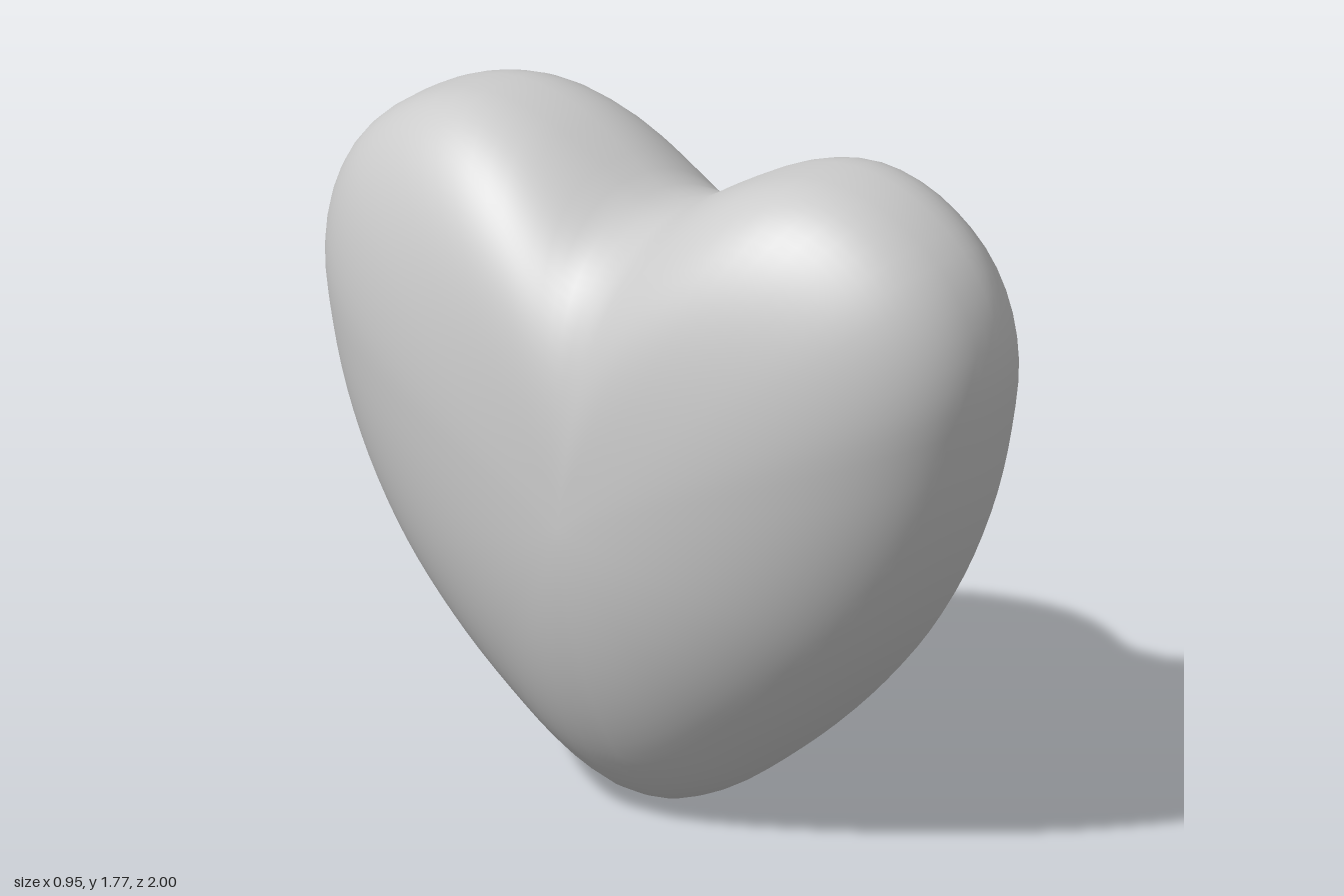
import * as THREE from 'three';

const CENTER_Y = 0.85;      // height of the thickest point
const HALF_THICKNESS = 0.476;
const AROUND = 96, RINGS = 48;

// Half of the heart outline as [z, y], from the notch down to the tip
const HALF = [
  [0, 1.575], [0.08, 1.6], [0.2, 1.67], [0.35, 1.742], [0.52, 1.776], [0.7, 1.74],
  [0.87, 1.63], [0.96, 1.5], [1, 1.34], [0.985, 1.15], [0.94, 0.95], [0.86, 0.75],
  [0.745, 0.56], [0.585, 0.375], [0.4, 0.21], [0.17, 0.052], [0, 0.003],
];

function heartOutline() {
  const mirrored = HALF.slice(1, -1).reverse().map(([z, y]) => [-z, y]);
  const points = [...HALF, ...mirrored].map(([z, y]) => new THREE.Vector3(0, y, z));
  return new THREE.CatmullRomCurve3(points, true, 'centripetal').getSpacedPoints(AROUND).slice(0, AROUND);
}

// Nested heart outlines swell from the rim to a dome on each side
function heartGeometry() {
  const outline = heartOutline();
  const positions = [HALF_THICKNESS, CENTER_Y, 0];
  for (let r = 1; r < RINGS; r++) {
    const angle = (r / RINGS) * Math.PI;
    const c = Math.cos(angle);
    for (const p of outline) {
      const dy = p.y - CENTER_Y;
      const up = dy / Math.hypot(dy, p.z);
      // the lobes are full and blunt, the notch and the tip elliptical
      const notch = dy > 0 ? 0.8 * Math.exp(-((p.z / 0.28) ** 2)) : 0;
      const lobe = ((up + 1) / 2) ** 4 * (1 - notch);
      const power = 2 / (2 + 1.2 * lobe);
      const s = Math.pow(Math.sin(angle), power);
      const x = Math.sign(c) * Math.pow(Math.abs(c), power) * (1 - 0.16 * lobe * s * s);
      // notch and tip become rounder away from the rim
      const w = 0.8 * (1 - s);
      const fill = (dy > 0 ? 0.4 : 0.15) * up ** 4 * (Math.hypot(p.z, w) - Math.abs(p.z));
      positions.push(HALF_THICKNESS * x, CENTER_Y + (dy + fill) * s, p.z * s);
    }
  }
  positions.push(-HALF_THICKNESS, CENTER_Y, 0);

  const last = positions.length / 3 - 1;
  const at = (r, i) => (r === 0 ? 0 : r === RINGS ? last : 1 + (r - 1) * AROUND + (i % AROUND));
  const index = [];
  for (let r = 0; r < RINGS; r++) {
    for (let i = 0; i < AROUND; i++) {
      const a = at(r, i), b = at(r, i + 1), c = at(r + 1, i), d = at(r + 1, i + 1);
      if (r > 0) index.push(a, d, b);
      if (r < RINGS - 1) index.push(a, c, d);
    }
  }
  const geometry = new THREE.BufferGeometry();
  geometry.setAttribute('position', new THREE.Float32BufferAttribute(positions, 3));
  geometry.setIndex(index);
  geometry.computeVertexNormals();
  return geometry;
}

export function createModel() {
  const group = new THREE.Group();
  group.name = 'heart';
  const body = new THREE.Mesh(heartGeometry(), new THREE.MeshStandardMaterial({ color: 0xcccccc }));
  body.name = 'heartBody';
  group.add(body);
  return group;
}
